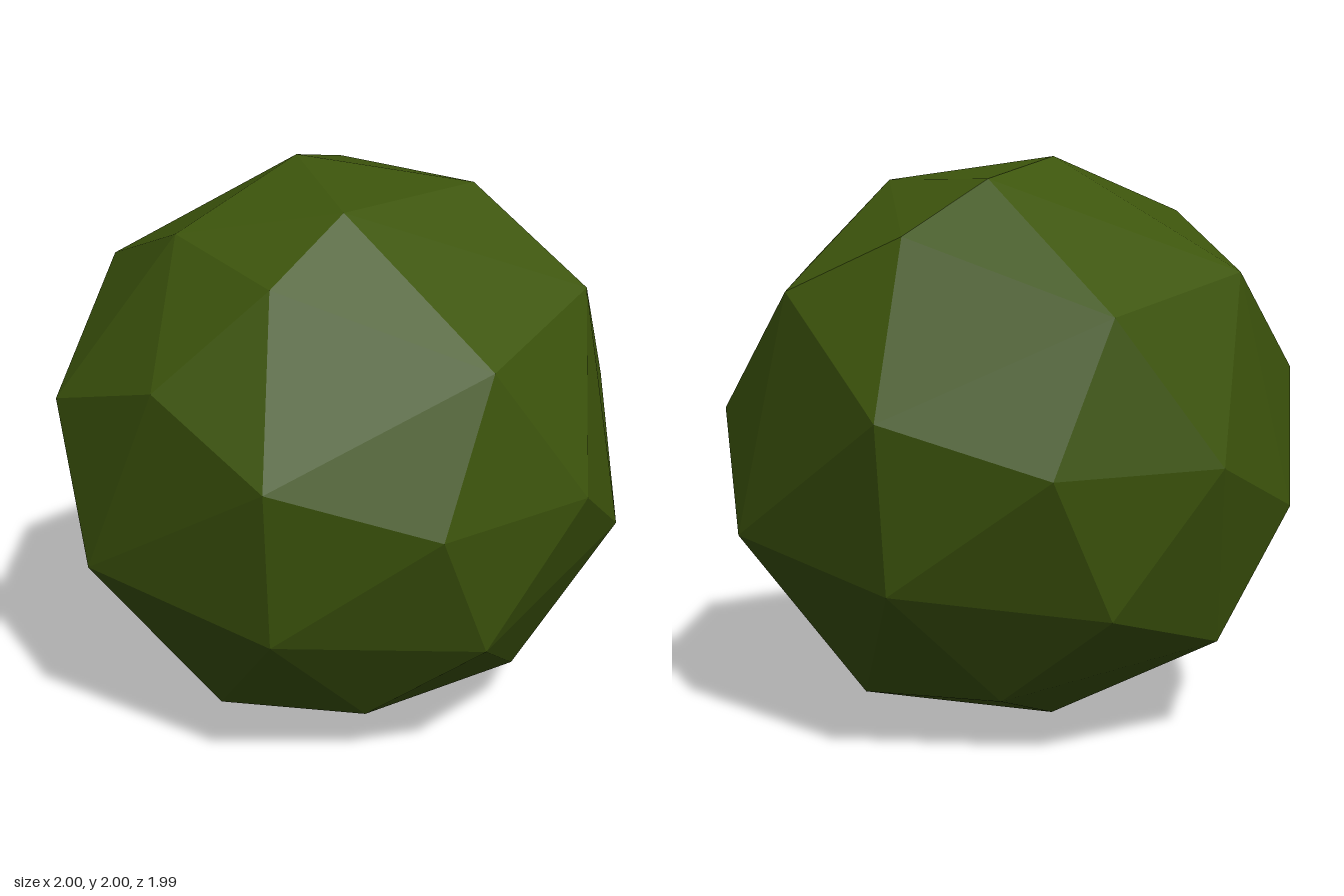
import * as THREE from 'three';
import { ConvexGeometry } from 'three/addons/geometries/ConvexGeometry.js';

// Corners that repeat after a half turn about the vertical axis
const PAIRED = [
  [0.21, 0.92, 0.4], [0.12, 0.735, 0.73], [0.84, 0.61, -0.17], [0.78, 0.49, 0.48],
  [0.235, 0.165, 0.995], [0.73, 0, 0.73], [1, 0, 0.175], [0.54, -0.3, -0.85],
  [0.21, -0.4, 0.92], [0.78, -0.48, 0.48], [0.35, -0.81, 0.51], [0.17, -0.845, -0.61],
];

// Corners that make the lump irregular
const SINGLE = [
  [-0.18, 1, 0], [0.4, 0.92, -0.21], [-0.36, 0.81, 0.51], [0.29, 0.55, -0.85],
  [-0.21, 0.4, 0.92], [-0.73, 0.24, 0.72], [0.72, 0.12, -0.73], [-0.92, -0.21, 0.4],
  [0.96, -0.27, -0.27], [-0.82, -0.65, 0.09], [0.65, -0.82, -0.09], [-0.18, -1, 0],
];

export function createModel() {
  const group = new THREE.Group();
  group.name = 'bush';

  const leafGreen = new THREE.MeshStandardMaterial({ color: 0x3d550c });
  leafGreen.name = 'leaf green';

  // Faceted foliage ball, raised to stand on the ground
  const corners = SINGLE.map(([x, y, z]) => new THREE.Vector3(x, y + 1, z));
  for (const [x, y, z] of PAIRED) {
    for (const s of [1, -1]) corners.push(new THREE.Vector3(s * x, y + 1, s * z));
  }
  const foliage = new THREE.Mesh(new ConvexGeometry(corners), leafGreen);
  foliage.name = 'foliage';
  group.add(foliage);

  return group;
}
